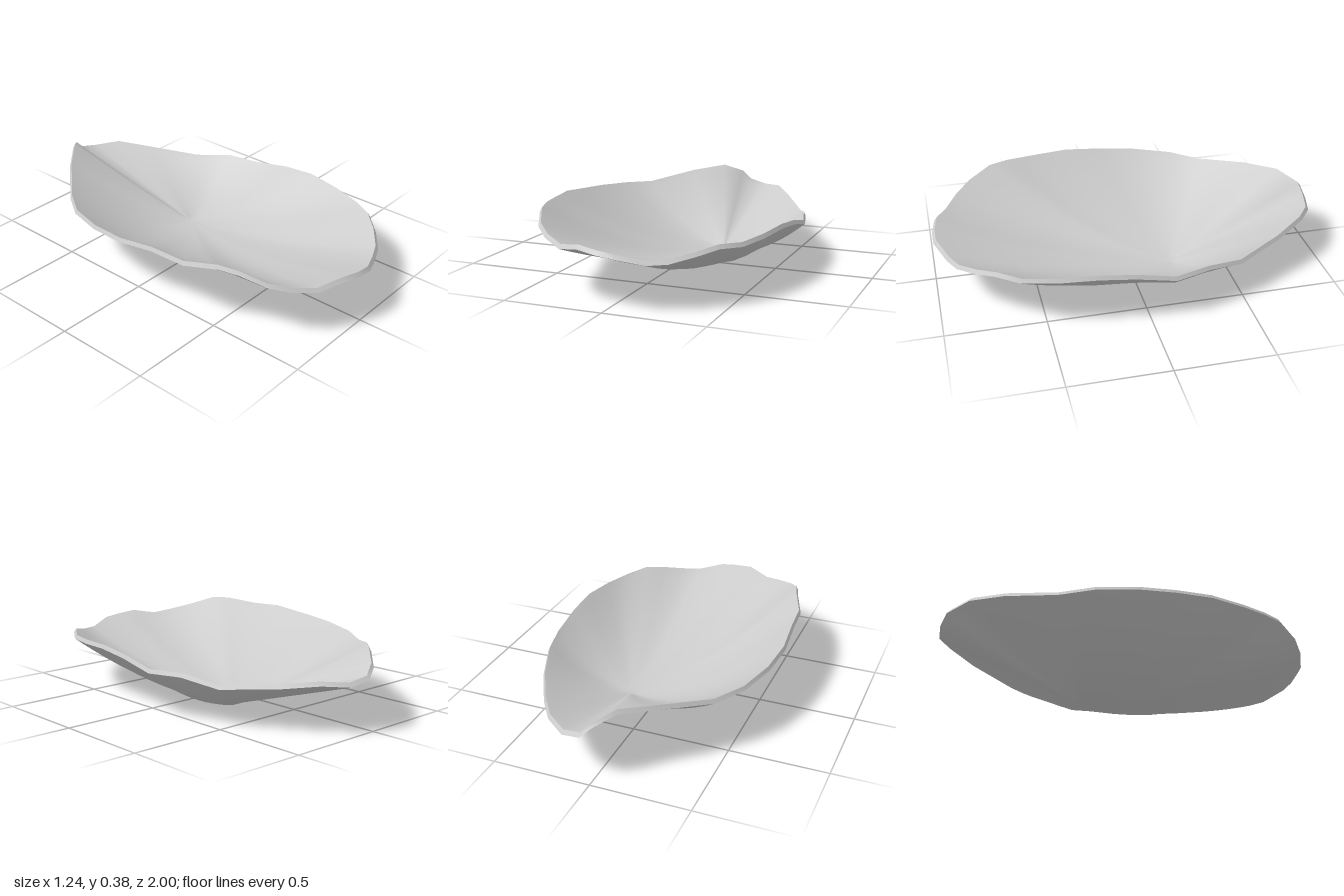
import * as THREE from 'three';
import { mergeVertices } from 'three/addons/utils/BufferGeometryUtils.js';

// Rim points [x, y, z], running back -> left -> front -> right
const RIM = [
  [0.04, 0.27, -1], [0.14, 0.25, -0.98], [0.25, 0.26, -0.9], [0.36, 0.235, -0.74],
  [0.5, 0.21, -0.49], [0.57, 0.245, -0.3], [0.617, 0.24, -0.12], [0.617, 0.28, 0.08],
  [0.61, 0.298, 0.26], [0.58, 0.29, 0.45], [0.53, 0.283, 0.62], [0.46, 0.292, 0.73],
  [0.38, 0.27, 0.82], [0.28, 0.245, 0.9], [0.19, 0.24, 0.94], [0.06, 0.27, 0.995],
  [-0.03, 0.28, 0.995], [-0.13, 0.292, 0.975], [-0.25, 0.27, 0.92], [-0.36, 0.295, 0.85],
  [-0.44, 0.325, 0.77], [-0.5, 0.37, 0.65], [-0.53, 0.375, 0.55], [-0.59, 0.357, 0.39],
  [-0.605, 0.363, 0.2], [-0.62, 0.34, 0], [-0.6, 0.325, -0.2], [-0.54, 0.31, -0.4],
  [-0.44, 0.3, -0.55], [-0.25, 0.345, -0.76], [-0.1, 0.365, -0.895], [-0.01, 0.32, -0.985],
];
const LOW = { x: 0.14, z: -0.22 }; // lowest point of the dish
const WALL = 0.02;
const STEPS = 14;

// Loop of points a fraction t of the way from the lowest point to the rim
function ring(t, lift, scale) {
  return RIM.map(([x, y, z]) => {
    const dx = x - LOW.x, dz = z - LOW.z;
    const back = Math.max(0, -dz / Math.hypot(dx, dz));
    const power = 1.85 - 0.85 * back * back; // straighter slope towards the back
    return [
      (LOW.x + dx * t) * scale,
      lift + (y - WALL) * Math.pow(t, power),
      (LOW.z + dz * t) * scale,
    ];
  });
}

// Surface through successive closed loops
function loft(rings, flip) {
  const n = RIM.length, index = [];
  for (let r = 0; r < rings.length - 1; r++) {
    for (let i = 0; i < n; i++) {
      const j = (i + 1) % n;
      const a = r * n + i, b = r * n + j, c = a + n, d = b + n;
      const tris = [[a, c, d], [a, d, b]];
      for (const [p, q, s] of tris) index.push(...(flip ? [p, s, q] : [p, q, s]));
    }
  }
  let geo = new THREE.BufferGeometry();
  geo.setAttribute('position', new THREE.Float32BufferAttribute(rings.flat(2), 3));
  geo.setIndex(index);
  geo = mergeVertices(geo, 1e-5);
  geo.computeVertexNormals();
  return geo;
}

export function createModel() {
  const group = new THREE.Group();
  group.name = 'shallowDish';
  const material = new THREE.MeshStandardMaterial({ color: 0xcccccc, side: THREE.DoubleSide });
  const add = (name, geometry) => {
    const mesh = new THREE.Mesh(geometry, material);
    mesh.name = name;
    group.add(mesh);
  };

  const outer = [], inner = [];
  for (let k = 0; k <= STEPS; k++) {
    outer.push(ring(k / STEPS, 0, 1));
    inner.push(ring(k / STEPS, WALL, 0.985));
  }
  add('underside', loft(outer, false));
  add('hollow', loft(inner, true));
  add('rim', loft([outer[STEPS], inner[STEPS]], false)); // thin edge joining both
  return group;
}
